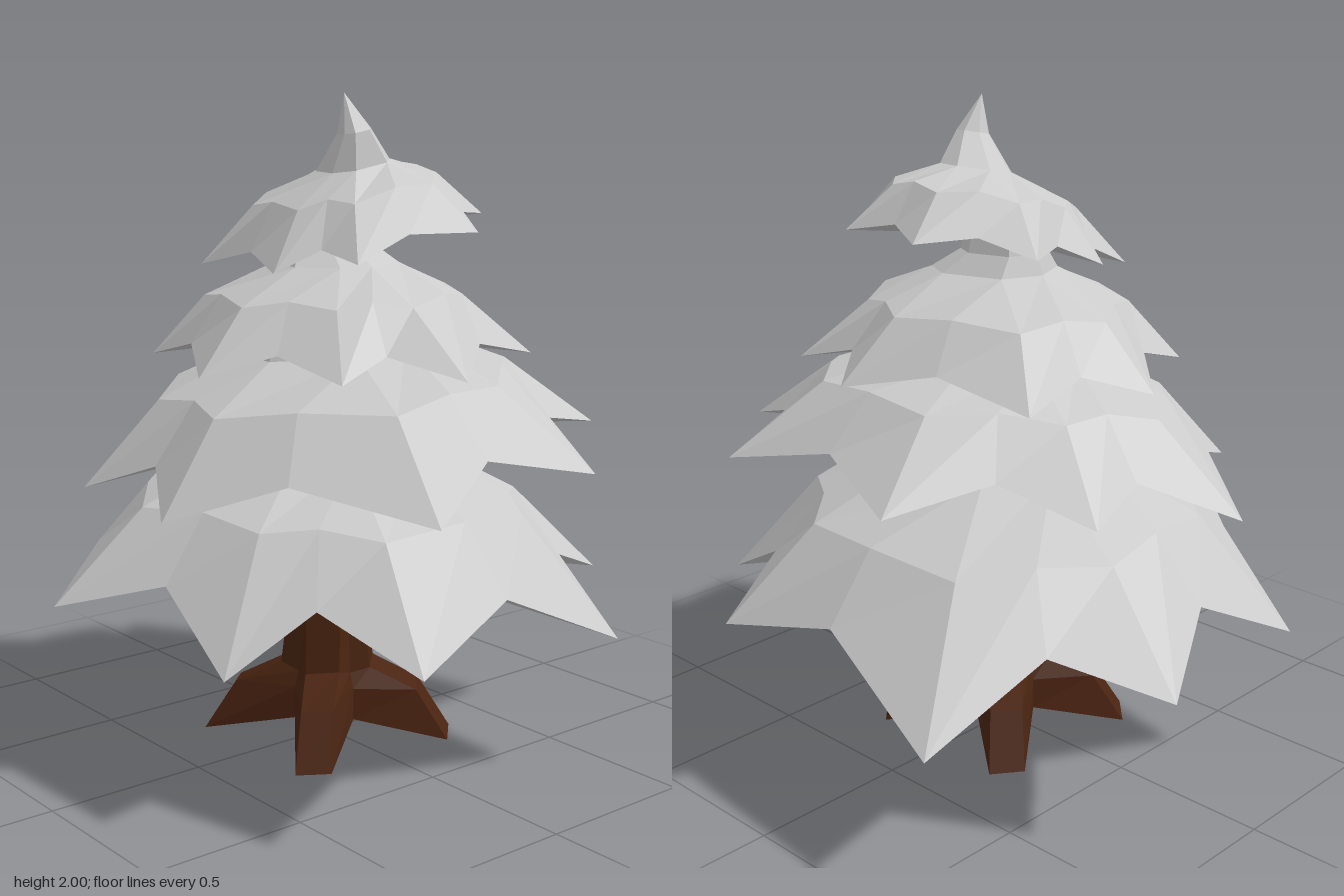
import * as THREE from 'three';

const foliageMat = new THREE.MeshStandardMaterial({ color: 0xcccccc, flatShading: true });
const barkMat = new THREE.MeshStandardMaterial({ color: 0x4a2411, flatShading: true });
const V = (x, y, z) => new THREE.Vector3(x, y, z);

// Closed skin over a stack of loops (bottom to top, same count), fanned at both ends.
function loft(name, rings, bottom, top, material) {
  const pos = [];
  const tri = (a, b, c) => {
    const area = b.clone().sub(a).cross(c.clone().sub(a)).length();
    if (area > 1e-6) for (const p of [a, b, c]) pos.push(p.x, p.y, p.z);
  };
  const n = rings[0].length;
  for (let i = 0; i < n; i++) {
    const j = (i + 1) % n;
    tri(bottom, rings[0][i], rings[0][j]);
    for (let k = 0; k + 1 < rings.length; k++) {
      const lo = rings[k], up = rings[k + 1];
      tri(lo[i], up[i], lo[j]);
      tri(lo[j], up[i], up[j]);
    }
    const last = rings[rings.length - 1];
    tri(last[i], top, last[j]);
  }
  const geo = new THREE.BufferGeometry();
  geo.setAttribute('position', new THREE.Float32BufferAttribute(pos, 3));
  geo.computeVertexNormals();
  const mesh = new THREE.Mesh(geo, material);
  mesh.name = name;
  return mesh;
}

// One skirt of branches: drooping tips with notches between, a shoulder loop, then eight-sided collars.
// Tips are [degrees, radius]; collars are [y, radius, x, z].
function tier(name, tips, { shoulder, tilt, drop, droop, collars, stagger = 0, cx = 0, cz = 0 }) {
  const at = (a, r, dy) => {
    const z = cz + r * Math.sin(a);
    return V(cx + r * Math.cos(a), shoulder - tilt * z + dy, z);
  };
  const spokes = tips.map(([deg, r]) => ({ a: THREE.MathUtils.degToRad(deg), r }));
  const mean = spokes.reduce((sum, p) => sum + p.r, 0) / spokes.length;
  const rim = [], mid = [], angles = [];
  spokes.forEach((p, i) => {
    const q = spokes[(i + 1) % spokes.length];
    const nextAngle = q.a < p.a ? q.a + 2 * Math.PI : q.a;
    const notch = (p.a + nextAngle) / 2, notchR = 0.79 * (p.r + q.r) / 2;
    rim.push(at(p.a, p.r, (i % 2 ? -stagger : stagger) - droop), at(notch, notchR, -drop));
    mid.push(at(p.a, 0.4 * p.r + 0.27 * mean, 0), at(notch, 0.78 * notchR, 0.02));
    angles.push(p.a, p.a);
  });
  const upper = collars.map(([y, r, x = 0, z = 0]) =>
    angles.map(a => V(x + r * Math.cos(a), y - tilt * r * Math.sin(a), z + r * Math.sin(a))));
  const [topY, , topX = 0, topZ = 0] = collars[collars.length - 1];
  return loft(name, [rim, mid, ...upper], V(cx, shoulder - drop, cz), V(topX, topY, topZ), foliageMat);
}

// Trunk with four diagonal roots: each loop holds two edges per root and a hollow between roots.
function trunk() {
  // [root radius, root height, half angle, hollow radius, hollow height]
  const loops = [
    [0.39, 0.01, 0.14, 0.13, 0.07],
    [0.29, 0.17, 0.17, 0.13, 0.17],
    [0.15, 0.24, 0.36, 0.115, 0.22],
    [0.13, 0.42, 0.42, 0.1, 0.42],
    [0.1, 0.66, 0.42, 0.08, 0.66],
  ].map(([r, y, half, hollowR, hollowY]) => {
    const ring = [];
    const add = (a, rad, h) => ring.push(V(rad * Math.cos(a), h, rad * Math.sin(a)));
    for (let i = 0; i < 4; i++) {
      const a = Math.PI / 4 + i * Math.PI / 2;
      add(a - half, r, y);
      add(a + half, r, y - 0.01);
      add(a + Math.PI / 4, hollowR, hollowY);
    }
    return ring;
  });
  return loft('trunk', loops, V(0, 0.05, 0), V(0, 0.67, 0), barkMat);
}

export function createModel() {
  const tree = new THREE.Group();
  tree.name = 'pineTree';
  tree.add(trunk());

  // Four skirts of branches from the ground up, the last ending in the bent peak
  tree.add(tier('bottomBranches',
    [[25, 1.03], [57, 0.88], [102, 0.89], [156, 0.92], [198, 0.98], [238, 1.04], [295, 0.9], [332, 0.93]],
    { shoulder: 0.78, tilt: -0.03, drop: 0.17, droop: 0.31, stagger: 0.035, collars: [[0.94, 0.3], [1.1, 0.22]] }));
  tree.add(tier('lowerBranches',
    [[19, 0.88], [78, 0.73], [118, 0.75], [174, 0.85], [207, 0.76], [250, 0.82], [300, 0.85], [339, 0.88]],
    { shoulder: 1.14, tilt: 0.11, drop: 0.15, droop: 0.24, collars: [[1.25, 0.27], [1.4, 0.22]] }));
  tree.add(tier('upperBranches',
    [[5, 0.69], [35, 0.6], [78, 0.57], [133, 0.54], [178, 0.57], [220, 0.62], [280, 0.58], [315, 0.62]],
    { shoulder: 1.4, tilt: 0.02, drop: 0.12, droop: 0.18, collars: [[1.5, 0.19, 0.04], [1.56, 0.13], [1.66, 0.11]] }));
  tree.add(tier('crown',
    [[35, 0.37], [73, 0.38], [127, 0.44], [158, 0.38], [202, 0.38], [254, 0.41], [297, 0.42], [335, 0.42]],
    { shoulder: 1.71, tilt: 0.2, drop: 0.11, droop: 0.15, cx: 0.06, cz: -0.03,
      collars: [[1.79, 0.11, 0.11, -0.01], [1.89, 0.05, 0.15, 0.02], [2, 0, 0.14, 0.05]] }));
  return tree;
}
